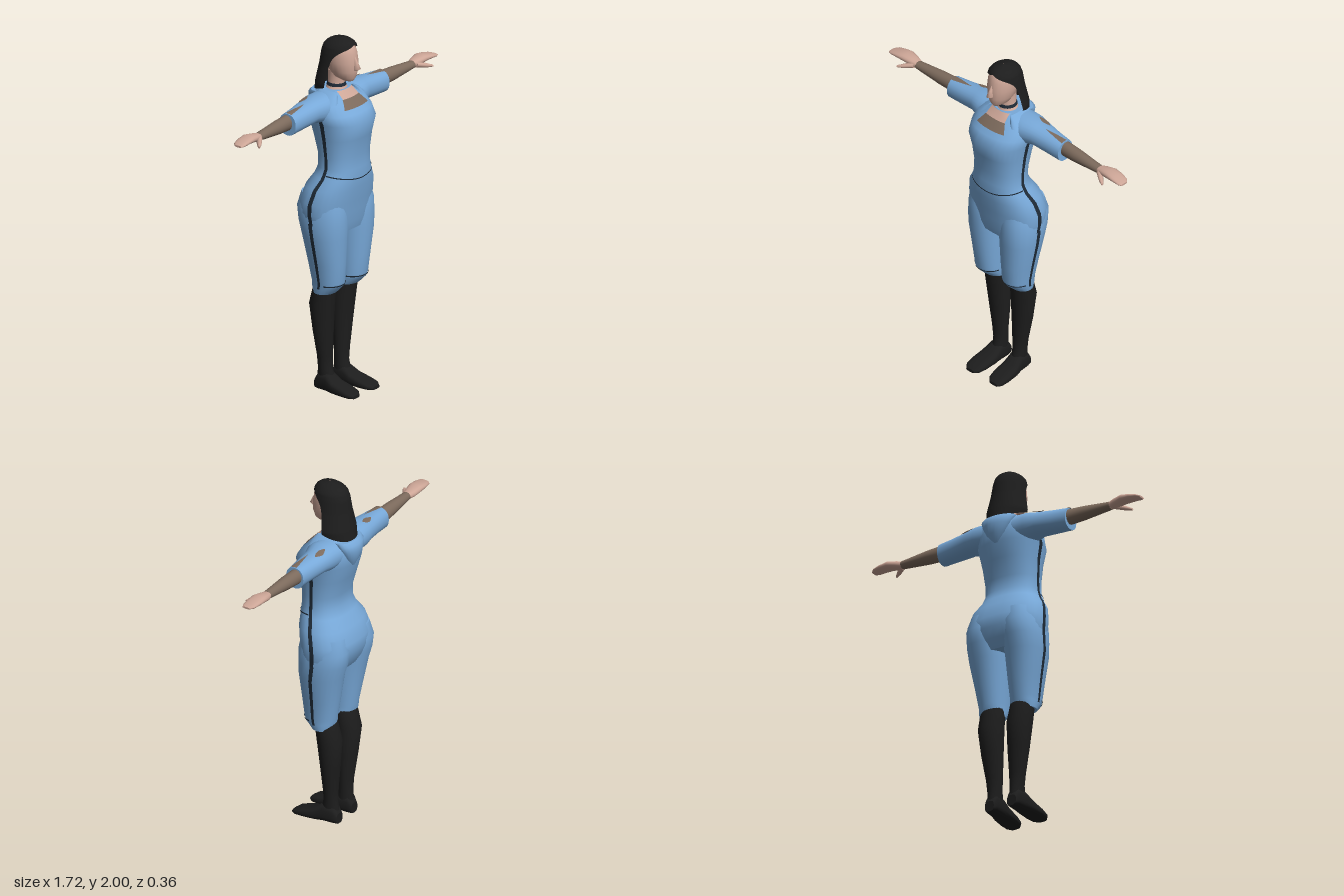
import * as THREE from 'three';
import { mergeVertices, mergeGeometries } from 'three/addons/utils/BufferGeometryUtils.js';

const mat = (name, color) => {
  const m = new THREE.MeshStandardMaterial({ color, side: THREE.DoubleSide });
  m.name = name;
  return m;
};
const TAU = Math.PI * 2, D = Math.PI / 180, lerp = THREE.MathUtils.lerp;

// Rows are [t, aMin, aMax, bMin, bMax], sorted by t along the chosen axis.
function rowAt(rows, t) {
  let i = 0;
  while (i < rows.length - 2 && t > rows[i + 1][0]) i++;
  const k = (t - rows[i][0]) / (rows[i + 1][0] - rows[i][0]);
  return rows[i].map((v, j) => lerp(v, rows[i + 1][j], k));
}
const place = {
  x: (a, b, t) => [t, b, a],   // a = z, b = y
  y: (a, b, t) => [a, t, b],   // a = x, b = z
  z: (a, b, t) => [b, a, t],   // a = y, b = x
};
// Point on a rounded cross-section; p below 1 makes it squarer
function point(rows, axis, p, t, ang, off = 0) {
  const [, a0, a1, b0, b1] = rowAt(rows, t);
  const c = Math.cos(ang), s = Math.sin(ang);
  const f = v => (Math.abs(v) < 1e-9 ? 0 : Math.sign(v) * Math.abs(v) ** p);
  return place[axis]((a0 + a1) / 2 + f(c) * ((a1 - a0) / 2 + off),
    (b0 + b1) / 2 + f(s) * ((b1 - b0) / 2 + off), t);
}
// Sheet of nu by nv quads; fn(u, v) gives a position
function sheet(fn, nu, nv) {
  const pos = [], idx = [], w = nu + 1;
  for (let j = 0; j <= nv; j++) for (let i = 0; i <= nu; i++) pos.push(...fn(i / nu, j / nv));
  for (let j = 0; j < nv; j++) for (let i = 0; i < nu; i++) {
    const k = j * w + i;
    idx.push(k, k + w, k + 1, k + 1, k + w, k + w + 1);
  }
  let g = new THREE.BufferGeometry();
  g.setAttribute('position', new THREE.Float32BufferAttribute(pos, 3));
  g.setIndex(idx);
  g = mergeVertices(g, 1e-5);
  g.computeVertexNormals();
  return g;
}
// Closed body through all rows, with flat ends
function loft(rows, axis = 'y', p = 1, n = 24) {
  const last = rows.length - 1;
  const side = sheet((u, v) => point(rows, axis, p, rows[Math.round(v * last)][0], u * TAU), n, last);
  const cap = (r, top) => sheet((u, v) => {
    const k = top ? 1 - v : v, q = point(rows, axis, p, r[0], u * TAU);
    const c = place[axis]((r[1] + r[2]) / 2, (r[3] + r[4]) / 2, r[0]);
    return q.map((x, i) => lerp(c[i], x, k));
  }, n, 1);
  return mergeGeometries([side, cap(rows[0], false), cap(rows[last], true)]);
}
// Thin marking lying on a loft; fn(u, v) gives [t, angle]
const decal = (rows, axis, p, fn, nu, nv) =>
  sheet((u, v) => point(rows, axis, p, ...fn(u, v), 0.004), nu, nv);

function mirrored(g) {
  const m = g.clone();
  m.scale(-1, 1, 1);
  const ix = m.index.array;
  for (let i = 0; i < ix.length; i += 3) [ix[i], ix[i + 1]] = [ix[i + 1], ix[i]];
  m.computeVertexNormals();
  return m;
}

export function createModel() {
  const blue = mat('suit blue', 0x78a9d9), skin = mat('skin', 0xcda697);
  const brown = mat('undershirt brown', 0x7c6a5c), black = mat('hair and boot black', 0x1d1d1d);
  const dark = mat('trim dark', 0x1e2a36);
  const model = new THREE.Group();
  model.name = 'figure';
  const add = (name, g, m) => {
    const mesh = new THREE.Mesh(g, m);
    mesh.name = name;
    model.add(mesh);
  };
  const pair = (name, g, m) => {
    add(name + 'Left', g, m);
    add(name + 'Right', mirrored(g), m);
  };
  const sym = rows => rows.map(([y, w, zb, zf]) => [y, -w, w, zb, zf]);

  // Torso and hips
  const P = 0.85;
  const body = sym([
    [0.93, 0.2, -0.12, 0.1], [0.98, 0.222, -0.15, 0.113], [1.04, 0.229, -0.17, 0.12],
    [1.1, 0.23, -0.173, 0.13], [1.18, 0.212, -0.145, 0.142], [1.24, 0.172, -0.105, 0.147],
    [1.29, 0.155, -0.085, 0.145], [1.36, 0.155, -0.085, 0.143], [1.46, 0.163, -0.115, 0.16],
    [1.55, 0.18, -0.14, 0.18], [1.6, 0.185, -0.145, 0.148], [1.65, 0.17, -0.14, 0.1],
    [1.69, 0.12, -0.125, 0.06], [1.71, 0.085, -0.11, 0.042],
  ]);
  add('bodysuit', loft(body, 'y', P, 32), blue);
  const frontAngle = (x, y) => Math.acos(Math.sign(x) * (Math.abs(x) / rowAt(body, y)[2]) ** (1 / P));
  add('necklinePanel', decal(body, 'y', P, (u, v) => {
    const t = lerp(1.627, 1.672, v);
    return [t, frontAngle(lerp(0.098, 0.068, v) * (1 - 2 * u), t)];
  }, 16, 4), brown);
  add('openNeckline', decal(body, 'y', P, (u, v) => {
    const t = lerp(1.672, 1.71, v);
    return [t, frontAngle(lerp(0.066, 0.06, v) * (1 - 2 * u), t)];
  }, 16, 4), skin);
  add('waistSeam', decal(body, 'y', P, (u, v) => {
    const ang = lerp(4, 176, u) * D;
    return [1.228 + 0.028 * Math.abs(Math.cos(ang)) ** 1.3 + 0.006 * v, ang];
  }, 40, 1), dark);
  pair('sideStripe', decal(body, 'y', P, (u, v) => [lerp(0.98, 1.57, v), lerp(-3, 3, u) * D], 2, 30), dark);

  // Hood folded on the upper back
  add('hood', loft(sym([
    [1.54, 0.02, -0.14, -0.1], [1.59, 0.06, -0.165, -0.09], [1.64, 0.085, -0.175, -0.08],
    [1.675, 0.1, -0.17, -0.06], [1.695, 0.1, -0.15, -0.05],
  ])), blue);
  // Standing collar points
  pair('collar', loft([
    [1.655, 0.075, 0.16, -0.06, 0.07], [1.69, 0.068, 0.125, -0.08, 0.055], [1.71, 0.065, 0.085, -0.08, 0.04],
  ]), blue);

  // Trouser legs
  const leg = [
    [0.575, 0.025, 0.172, -0.075, 0.042], [0.615, 0.02, 0.18, -0.086, 0.082], [0.64, 0.02, 0.18, -0.088, 0.092],
    [0.75, 0.012, 0.197, -0.108, 0.102], [0.9, 0.004, 0.224, -0.135, 0.114],
    [0.98, 0.0, 0.227, -0.16, 0.117], [1.06, 0.005, 0.224, -0.171, 0.115], [1.14, 0.02, 0.2, -0.15, 0.1],
  ];
  pair('trouserLeg', loft(leg, 'y', 0.92), blue);
  pair('legStripe', decal(leg, 'y', 0.92, (u, v) => [lerp(0.61, 0.99, v), lerp(-4, 4, u) * D], 2, 16), dark);
  pair('trouserHemSeam', decal(leg, 'y', 0.92, (u, v) => [0.627 + 0.007 * v, lerp(15, 165, u) * D], 24, 1), dark);

  // Boots
  pair('bootShaft', loft([
    [0.05, 0.032, 0.108, -0.09, 0.02], [0.13, 0.03, 0.112, -0.08, -0.002], [0.2, 0.028, 0.12, -0.083, 0],
    [0.35, 0.022, 0.146, -0.1, 0.008], [0.5, 0.02, 0.164, -0.115, 0.022], [0.62, 0.025, 0.165, -0.08, 0.035],
  ]), black);
  pair('bootFoot', loft([
    [-0.095, 0, 0.06, 0.042, 0.1], [-0.07, 0, 0.1, 0.03, 0.113], [-0.01, 0, 0.105, 0.027, 0.12],
    [0.04, 0, 0.07, 0.025, 0.132], [0.11, 0, 0.05, 0.026, 0.137], [0.155, 0, 0.035, 0.035, 0.133],
    [0.178, 0.002, 0.02, 0.058, 0.115],
  ], 'z', 0.7), black);

  // Sleeves with open-shoulder panels
  const sleeve = [
    [0.06, -0.13, 0.05, 1.55, 1.7], [0.16, -0.128, 0.055, 1.55, 1.702], [0.22, -0.117, 0.035, 1.562, 1.69],
    [0.32, -0.1, 0.027, 1.556, 1.68], [0.41, -0.09, 0.02, 1.55, 1.672],
  ];
  pair('sleeve', loft(sleeve, 'x', 0.9), blue);
  pair('sleeveCutout', decal(sleeve, 'x', 0.9, (u, v) =>
    [lerp(0.27, 0.41, v), (83 + 16 * (u - 0.5) * 2 * v) * D], 8, 8), brown);
  pair('shoulderCutout', decal(sleeve, 'x', 0.9, (u, v) =>
    [lerp(0.18, 0.27, v), (112 + 13 * (u - 0.5) * 2 * Math.sin(v * Math.PI)) * D], 8, 8), brown);
  pair('forearm', loft([
    [0.38, -0.08, -0.004, 1.575, 1.665], [0.5, -0.073, -0.001, 1.583, 1.66], [0.67, -0.057, -0.005, 1.602, 1.645],
  ], 'x'), brown);

  // Hands
  pair('hand', loft([
    [0.66, -0.054, -0.008, 1.605, 1.642], [0.7, -0.068, 0, 1.607, 1.65], [0.75, -0.076, 0.009, 1.617, 1.658],
    [0.8, -0.072, 0.01, 1.62, 1.65], [0.84, -0.063, 0.008, 1.62, 1.64], [0.858, -0.045, 0, 1.622, 1.633],
  ], 'x', 0.85, 16), skin);
  pair('thumb', loft([
    [0.68, -0.035, 0.004, 1.607, 1.637], [0.725, 0, 0.034, 1.6, 1.627], [0.757, 0.032, 0.047, 1.6, 1.613],
  ], 'x', 1, 12), skin);

  // Neck and choker
  add('neck', loft(sym([
    [1.68, 0.08, -0.08, 0.05], [1.713, 0.055, -0.075, 0.035], [1.735, 0.043, -0.068, 0.024], [1.81, 0.045, -0.07, 0.035],
  ])), skin);
  add('choker', loft(sym([[1.722, 0.051, -0.075, 0.033], [1.738, 0.046, -0.072, 0.029]])), dark);

  // Head and nose
  add('head', loft(sym([
    [1.764, 0.024, 0.02, 0.088], [1.782, 0.047, -0.03, 0.1], [1.82, 0.067, -0.06, 0.11], [1.87, 0.076, -0.08, 0.11],
    [1.92, 0.076, -0.085, 0.102], [1.955, 0.067, -0.075, 0.088], [1.98, 0.04, -0.035, 0.06],
  ])), skin);
  add('nose', loft(sym([
    [1.826, 0.011, 0.09, 0.113], [1.841, 0.017, 0.09, 0.138], [1.875, 0.01, 0.09, 0.121], [1.905, 0.006, 0.09, 0.104],
  ]), 'y', 1, 12), skin);

  // Long hair, open around the face and longer at the back
  const hair = sym([
    [1.69, 0.112, -0.142, 0.1], [1.75, 0.12, -0.132, 0.1], [1.85, 0.099, -0.112, 0.102], [1.92, 0.088, -0.103, 0.107],
    [1.955, 0.08, -0.09, 0.1], [1.975, 0.064, -0.072, 0.088], [1.992, 0.04, -0.04, 0.065], [2, 0.001, 0.01, 0.015],
  ]);
  add('hair', sheet((u, v) => {
    const back = Math.sin(u * Math.PI);
    const t = lerp(lerp(1.735, 1.69, back), 2, v);
    const open = t > 1.965 ? 0 : 88 * (1 - Math.exp((t - 1.965) / 0.03));
    return point(hair, 'y', 1, t, lerp(90 + open, 450 - open, u) * D);
  }, 36, 32), black);

  return model;
}
